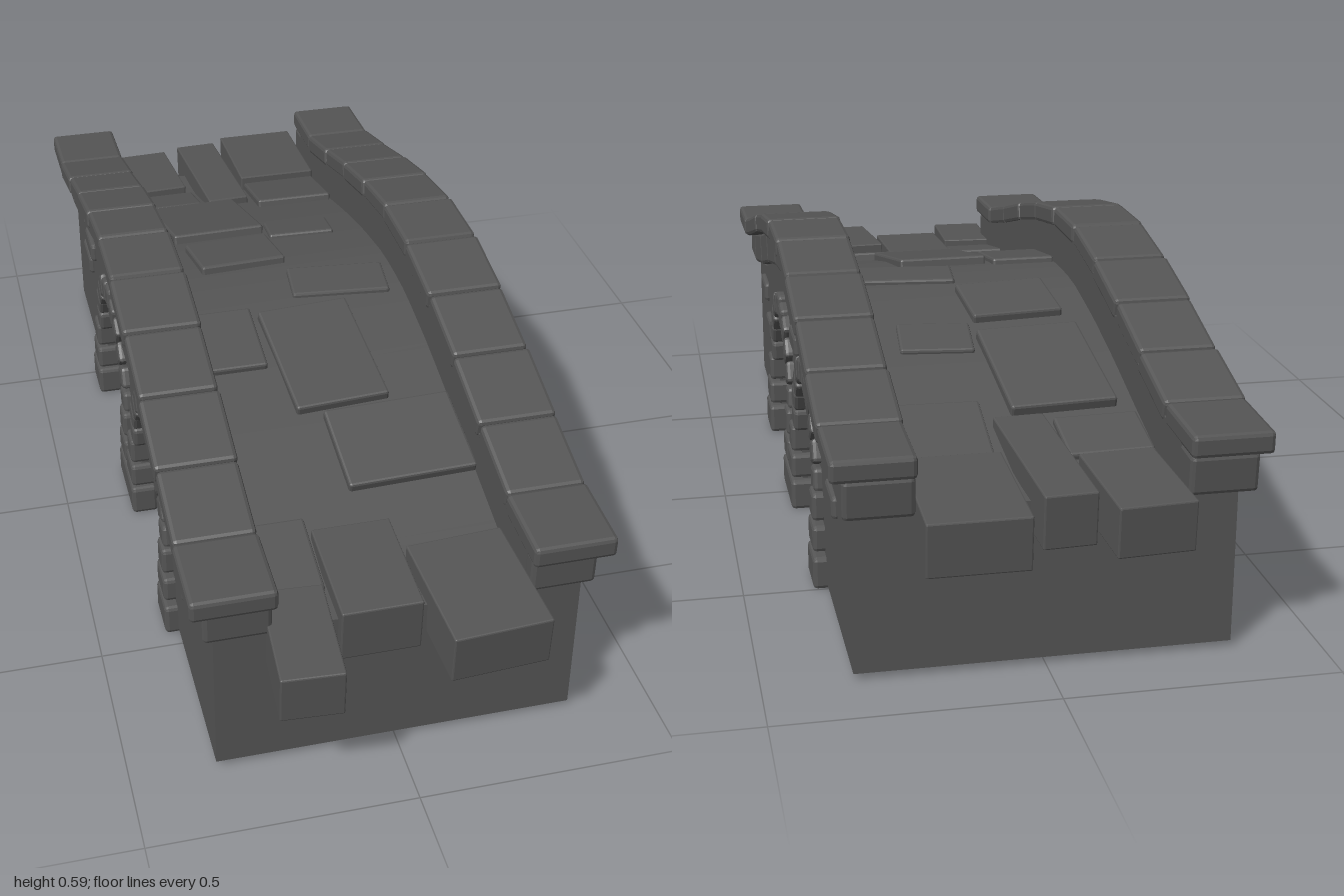
import * as THREE from 'three';
import { toCreasedNormals } from 'three/addons/utils/BufferGeometryUtils.js';
import { RoundedBoxGeometry } from 'three/addons/geometries/RoundedBoxGeometry.js';

const stoneGrey = new THREE.MeshStandardMaterial({ color: 0x555555 });
stoneGrey.name = 'stone grey';

// Height of the parapet top along the bridge
const MID = -0.025;
const PROFILE = [[0, 0.597], [0.085, 0.595], [0.25, 0.567], [0.415, 0.527], [0.58, 0.48], [0.745, 0.437], [0.95, 0.43]];
function topY(z) {
  const u = Math.min(Math.abs(z - MID), 0.949);
  const i = PROFILE.findIndex((p) => p[0] > u);
  const [a, b] = [PROFILE[i - 1], PROFILE[i]];
  return THREE.MathUtils.lerp(a[1], b[1], (u - a[0]) / (b[0] - a[0]));
}
const deckY = (z) => topY(z) - 0.12;

// Chamfered stone block with flat faces
function stone(name, w, h, d, x, y, z, tilt = 0, yaw = 0, bevel = 0.008) {
  const geo = new RoundedBoxGeometry(w, h, d, 1, bevel);
  geo.computeVertexNormals();
  const mesh = new THREE.Mesh(geo, stoneGrey);
  mesh.name = name;
  mesh.position.set(x, y, z);
  mesh.rotation.set(tilt, yaw, 0);
  return mesh;
}

// Side-on outline (z, y) pushed across the bridge from x0 to x1
function acrossBridge(name, shape, x0, x1) {
  let geo = new THREE.ExtrudeGeometry(shape, { depth: x1 - x0, bevelEnabled: false, curveSegments: 24 });
  geo.rotateY(-Math.PI / 2);
  geo.translate(x1, 0, 0);
  geo = toCreasedNormals(geo, 0.5);
  const mesh = new THREE.Mesh(geo, stoneGrey);
  mesh.name = name;
  return mesh;
}

const ARCHES = [0.22, -0.255];
const ARCH_Y = 0.18;
const FRONT = 0.84, BACK = -0.87;

function body() {
  const s = new THREE.Shape();
  s.moveTo(BACK, 0.015);
  for (const c of [...ARCHES].reverse()) {
    s.lineTo(c - 0.165, 0.015);
    s.lineTo(c - 0.165, ARCH_Y);
    s.absarc(c, ARCH_Y, 0.165, Math.PI, 0, true);
    s.lineTo(c + 0.165, 0.015);
  }
  s.lineTo(FRONT, 0.015);
  for (let i = 0; i <= 30; i++) {
    const z = THREE.MathUtils.lerp(FRONT, BACK, i / 30);
    s.lineTo(z, deckY(z));
  }
  return acrossBridge('bridgeBody', s, -0.34, 0.34);
}

// Smooth core behind the parapet stones
function parapetCore(side) {
  const s = new THREE.Shape();
  const zs = Array.from({ length: 31 }, (_, i) => THREE.MathUtils.lerp(BACK + 0.01, FRONT - 0.01, i / 30));
  zs.forEach((z, i) => (i ? s.lineTo(z, deckY(z) - 0.02) : s.moveTo(z, deckY(z) - 0.02)));
  zs.reverse().forEach((z) => s.lineTo(z, topY(z) - 0.03));
  return side > 0 ? acrossBridge('parapetCore', s, 0.235, 0.335) : acrossBridge('parapetCore', s, -0.335, -0.235);
}

// One stone of a course that follows the hump
function courseStone(name, za, zb, dy, h, x, w) {
  const ya = topY(za), yb = topY(zb);
  const len = Math.hypot(zb - za, yb - ya) - 0.003;
  return stone(name, w, h, len, x, (ya + yb) / 2 + dy, (za + zb) / 2, -Math.atan2(yb - ya, zb - za));
}

function sideWall(side) {
  const g = new THREE.Group();
  g.name = side > 0 ? 'leftSide' : 'rightSide';
  g.add(parapetCore(side));

  // Coping stones
  for (let i = -5; i <= 5; i++) {
    const z = MID + i * 0.165;
    const w = 0.152 + 0.004 * (i % 2);
    g.add(courseStone('copingStone', z - 0.0825, z + 0.0825, -0.02, 0.042, side * 0.308, w));
  }
  // Course under the coping
  const cuts = [-0.92, -0.745, -0.56, -0.385, -0.2, 0, 0.195, 0.39, 0.565, 0.74, 0.86];
  for (let i = 0; i < cuts.length - 1; i++)
    g.add(courseStone('parapetStone', cuts[i], cuts[i + 1], -0.077, 0.074, side * 0.298, 0.124));

  for (const c of ARCHES) {
    // Arch ring
    const n = 11;
    for (let i = 0; i < n; i++) {
      const a = ((i + 0.5) / n) * Math.PI;
      const r = 0.178 + (i % 2 ? 0.003 : -0.002);
      const v = stone('archStone', 0.055, 0.052, 0.047, side * 0.329,
        ARCH_Y + Math.sin(a) * r, c + Math.cos(a) * r, Math.PI / 2 - a);
      g.add(v);
    }
    // Stacked pier blocks: bottom, height, inner offset, width, outer x
    for (const [y, h, off, w, x] of [[0.003, 0.065, 0.15, 0.097, 0.366], [0.073, 0.053, 0.153, 0.078, 0.364], [0.13, 0.057, 0.16, 0.055, 0.362]])
      for (const k of [-1, 1])
        g.add(stone('pierBlock', 0.056, h, w, side * (x - 0.028), y + h / 2, c + k * (off + w / 2)));
  }

  // Loose bricks showing on the wall: z, y, tilt
  const bricks = [[0.66, 0.278, 0], [0.547, 0.213, 0], [0, 0.445, -0.06], [-0.033, 0.357, 0], [-0.2, 0.423, 0.06], [-0.59, 0.308, 0], [-0.64, 0.248, 0]];
  for (const [z, y, t] of bricks)
    g.add(stone('wallBrick', 0.03, 0.045, 0.102, side * 0.336, y, z, t));
  return g;
}

// Paving slabs: x from, x to, z from, z to, yaw, lift above the deck
const SLABS = [
  [-0.24, -0.12, 0.6, 0.77, 0, 0.012],
  [-0.02, 0.235, 0.36, 0.55, 0.03, 0.016],
  [-0.08, 0.11, 0.07, 0.355, 0.06, 0.016],
  [-0.235, -0.1, 0.055, 0.23, 0, 0.01],
  [0.005, 0.21, -0.07, 0.04, -0.1, 0.008],
  [-0.17, 0.015, -0.265, -0.115, 0.07, 0.014],
  [0.025, 0.17, -0.375, -0.27, -0.07, 0.006],
  [-0.195, 0.01, -0.59, -0.315, 0.05, 0.018],
  [0.06, 0.235, -0.75, -0.55, -0.02, 0.014],
  [-0.23, -0.07, -0.73, -0.61, 0.03, 0.01],
];
// Thick blocks that overhang the two ends: same, then bottom and top
const END_BLOCKS = [
  [-0.248, -0.133, 0.77, 0.99, -0.06, 0.24, 0.338],
  [-0.114, 0.036, 0.635, 0.862, 0, 0.24, 0.35],
  [0.05, 0.235, 0.715, 0.965, 0.06, 0.25, 0.35],
  [-0.23, -0.09, -0.97, -0.745, 0.06, 0.245, 0.34],
  [-0.06, 0.035, -0.95, -0.61, 0.05, 0.265, 0.365],
  [0.055, 0.235, -1, -0.74, 0, 0.25, 0.35],
];

function paving() {
  const g = new THREE.Group();
  g.name = 'paving';
  for (const [x0, x1, z0, z1, yaw, lift] of SLABS) {
    const tilt = -Math.atan2(deckY(z1) - deckY(z0), z1 - z0);
    const y = (deckY(z0) + deckY(z1)) / 2 + lift - 0.02;
    g.add(stone('pavingSlab', x1 - x0, 0.044, z1 - z0, (x0 + x1) / 2, y, (z0 + z1) / 2, tilt, yaw, 0.005));
  }
  for (const [x0, x1, z0, z1, yaw, y0, y1] of END_BLOCKS) {
    const tilt = 0.06 * Math.sign(z0);
    g.add(stone('endBlock', x1 - x0, y1 - y0, z1 - z0, (x0 + x1) / 2, (y0 + y1) / 2, (z0 + z1) / 2, tilt, yaw, 0.003));
  }
  return g;
}

export function createModel() {
  const bridge = new THREE.Group();
  bridge.name = 'stoneBridge';
  bridge.add(body(), sideWall(1), sideWall(-1), paving());
  return bridge;
}
